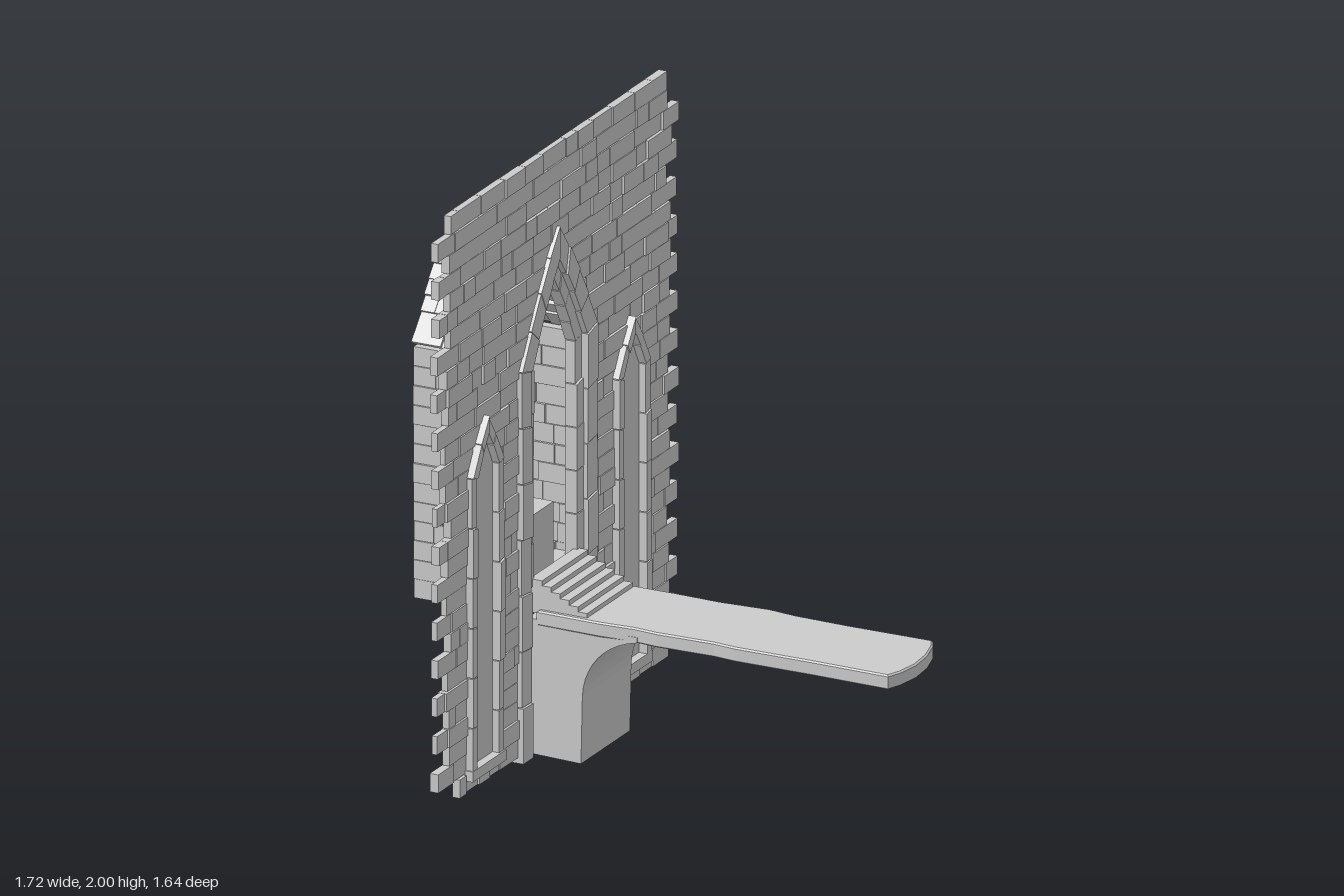
import * as THREE from 'three';
import { mergeGeometries } from 'three/addons/utils/BufferGeometryUtils.js';

const material = new THREE.MeshStandardMaterial({ color: 0xcccccc, flatShading: true, side: THREE.DoubleSide });

// Seeded variation for the hand-laid stones
let seed = 7;
const rand = (a, b) => {
  seed = (seed * 16807) % 2147483647;
  return a + (b - a) * (seed / 2147483647);
};

function addMesh(parent, name, geometries) {
  const mesh = new THREE.Mesh(mergeGeometries(geometries.map((g) => (g.index ? g.toNonIndexed() : g))), material);
  mesh.name = name;
  parent.add(mesh);
  return mesh;
}

// Box from its minimum and maximum corners
const box = (x0, x1, y0, y1, z0, z1) =>
  new THREE.BoxGeometry(x1 - x0, y1 - y0, z1 - z0).translate((x0 + x1) / 2, (y0 + y1) / 2, (z0 + z1) / 2);

// Outline of [z, y] points, extruded backwards from x = front
function slab(points, front, depth) {
  const shape = new THREE.Shape(points.map(([z, y]) => new THREE.Vector2(z, y)));
  return new THREE.ExtrudeGeometry(shape, { depth, bevelEnabled: false }).rotateY(-Math.PI / 2).translate(front, 0, 0);
}

// Split a span into stones of uneven length
function split(a, b, min, max, each) {
  for (let p = a; p < b - 0.001;) {
    let q = p + rand(min, max);
    if (b - q < min * 0.6) q = b;
    each(p, q);
    p = q;
  }
}

// Half width of a pointed opening at height y
function openingHalf(o, y) {
  if (y < o.y0 || y > o.apex) return 0;
  if (y < o.spring) return o.half;
  return o.half * (1 - Math.pow((y - o.spring) / (o.apex - o.spring), 1.2));
}

// Free parts of a course between z0 and z1 once the openings are taken out
function freeSpans(z0, z1, y, openings) {
  const spans = [];
  let start = z0;
  for (const o of openings) {
    const h = openingHalf(o, y);
    if (!h) continue;
    spans.push([start, o.z - h]);
    start = o.z + h;
  }
  spans.push([start, z1]);
  return spans.filter(([a, b]) => b - a > 0.015);
}

// Right half of a pointed outline, from the foot to the apex
function archSide(half, y0, spring, apex, jambSteps, archSteps) {
  const pts = [];
  for (let i = 0; i < jambSteps; i++) pts.push([half, y0 + ((spring - y0) * i) / jambSteps]);
  for (let i = 0; i <= archSteps; i++) {
    const t = i / archSteps;
    pts.push([half * (1 - t), spring + (apex - spring) * (t + 0.18 * t * (1 - t))]);
  }
  return pts;
}

// Pointed surround of separate stones
function archStones(o, width, front, depth, jambSteps, archSteps) {
  const outer = archSide(o.half, o.y0, o.spring, o.apex, jambSteps, archSteps);
  const inner = archSide(o.half - width, o.y0, o.spring - width * 0.25, o.apex - width * 1.55, jambSteps, archSteps);
  const stones = [];
  for (const s of [-1, 1]) {
    for (let i = 0; i < outer.length - 1; i++) {
      const g = 0.0015;
      const trim = rand(-0.004, 0.004);
      const quad = [
        [outer[i][0], outer[i][1] + g], [outer[i + 1][0], outer[i + 1][1] - g],
        [inner[i + 1][0], inner[i + 1][1] - g], [inner[i][0], inner[i][1] + g],
      ].map(([z, y]) => [o.z + s * z, y]);
      stones.push(slab(quad, front + trim, depth + trim));
    }
  }
  return stones;
}

// Filled pointed panel
function archPanel(o, inset, front, depth) {
  const side = archSide(o.half - inset, o.y0, o.spring, o.apex - inset * 1.5, 1, 4);
  const left = side.slice(0, -1).reverse().map(([z, y]) => [-z, y]);
  return slab([...side, ...left].map(([z, y]) => [z + o.z, y]), front, depth);
}

export function createModel() {
  const model = new THREE.Group();
  model.name = 'ruinedWallWithWalkway';

  // Openings, ordered along z
  const windows = [-0.49, 0.51].map((z) => ({ z, half: 0.11, y0: 0.07, spring: 1.08, apex: 1.26 }));
  const door = { z: 0.01, half: 0.26, y0: 0, spring: 1.32, apex: 1.73 };
  const holes = [
    { ...windows[0], half: 0.095, apex: 1.23 },
    { ...door, half: 0.225, apex: 1.68 },
    { ...windows[1], half: 0.095, apex: 1.23 },
  ];

  // Main wall: 31 courses with toothed ends
  const bricks = [];
  const rows = 31, pitch = 1.98 / rows;
  for (let r = 0; r < rows; r++) {
    const yTop = 2 - r * pitch, y0 = yTop - pitch;
    const zMax = r === rows - 1 ? 0.68 : r % 2 ? 0.82 : rand(0.73, 0.77);
    const zMin = r > 0 && r < rows - 1 && r % 2 === 0 ? -0.82 : rand(-0.77, -0.74);
    for (const [a, b] of freeSpans(zMin, zMax, y0 + pitch / 2, holes)) {
      split(a, b, 0.07, 0.17, (p, q) => {
        const back = -0.47 + rand(-0.004, 0.004), front = -0.444 + rand(-0.005, 0.005);
        bricks.push(box(back, front, y0 + 0.001, yTop - 0.001, p + 0.001, q - 0.001));
      });
    }
  }
  addMesh(model, 'wallBricks', bricks);

  // Narrow side windows
  for (const o of windows) {
    const group = new THREE.Group();
    group.name = o.z > 0 ? 'frontSideWindow' : 'backSideWindow';
    addMesh(group, 'windowSurround', archStones(o, 0.033, -0.424, 0.052, 6, 2));
    addMesh(group, 'windowPanel', [archPanel(o, 0.025, -0.452, 0.01)]);
    addMesh(group, 'windowSill', [box(-0.475, -0.422, 0.06, 0.095, o.z - 0.115, o.z + 0.115)]);
    model.add(group);
  }

  // Doorway: wide outer order and a slimmer recessed one
  addMesh(model, 'doorOuterSurround', archStones(door, 0.07, -0.43, 0.052, 7, 4));
  const innerDoor = { z: 0.01, half: 0.19, y0: 0.56, spring: 1.3, apex: 1.62 };
  addMesh(model, 'doorInnerSurround', archStones(innerDoor, 0.045, -0.45, 0.04, 5, 4));

  // Alcove side walls
  const sideBricks = [];
  const alcoveRows = 13, alcovePitch = 0.85 / alcoveRows;
  for (const s of [-1, 1]) {
    for (let r = 0; r < alcoveRows; r++) {
      const y0 = 0.46 + r * alcovePitch;
      split(-0.86, -0.47, 0.07, 0.15, (p, q) => {
        const zs = [s * (0.16 + rand(-0.004, 0.004)), s * (0.19 + rand(-0.005, 0.005))].sort((a, b) => a - b);
        sideBricks.push(box(p + 0.001, q - 0.001, y0 + 0.001, y0 + alcovePitch - 0.001, zs[0], zs[1]));
      });
    }
  }
  addMesh(model, 'alcoveSideBricks', sideBricks);

  // Alcove gable end with its own pointed window
  const endWindow = { z: 0.01, half: 0.115, y0: 0.58, spring: 1.3, apex: 1.48 };
  const endBricks = [];
  for (let r = 0; r < 17; r++) {
    const y0 = 0.46 + r * alcovePitch, y1 = y0 + alcovePitch;
    const half = y1 < 1.32 ? 0.165 : 0.19 * (1.61 - y1) / 0.3;
    if (half < 0.01) continue;
    for (const [a, b] of freeSpans(-half, half, y0 + alcovePitch / 2, [{ ...endWindow, half: 0.1, apex: 1.45 }])) {
      split(a, b, 0.06, 0.13, (p, q) => {
        endBricks.push(box(-0.86 + rand(0, 0.006), -0.83, y0 + 0.001, y1 - 0.001, p + 0.001, q - 0.001));
      });
    }
  }
  addMesh(model, 'alcoveEndBricks', endBricks);
  addMesh(model, 'alcoveWindowSurround', archStones(endWindow, 0.035, -0.822, 0.042, 5, 2));
  addMesh(model, 'alcoveWindowPanel', [archPanel(endWindow, 0.02, -0.842, 0.01)]);
  addMesh(model, 'alcoveFloor', [box(-0.84, -0.44, 0.54, 0.565, -0.165, 0.165)]);
  addMesh(model, 'alcoveBlock', [box(-0.58, -0.47, 0.565, 0.785, -0.02, 0.12)]);

  // Steep roof: overlapping shingle courses and a ridge
  const shingles = [];
  const courses = 6;
  for (const s of [-1, 1]) {
    for (let i = 0; i < courses; i++) {
      const t = (i + 0.5) / courses;
      split(-0.865, -0.472, 0.05, 0.11, (p, q) => {
        const out = rand(-0.004, 0.004);
        shingles.push(new THREE.BoxGeometry(q - p - 0.002, 0.016, 0.072)
          .rotateX(s * 0.84)
          .translate((p + q) / 2, 1.59 - 0.265 * t + out, s * (0.005 + 0.175 * t + out)));
      });
    }
  }
  split(-0.865, -0.472, 0.1, 0.16, (p, q) => shingles.push(box(p + 0.001, q - 0.001, 1.585, 1.61, -0.018, 0.018)));
  addMesh(model, 'alcoveRoofShingles', shingles);

  // Walkway deck with worn edges and a broken tip
  const deckPoints = [[-0.42, 0.175], [-0.2, 0.178], [-0.08, 0.17], [0.0, 0.177], [0.2, 0.17], [0.28, 0.178],
    [0.55, 0.174], [0.82, 0.176], [0.838, 0.13], [0.85, 0.05], [0.842, -0.04], [0.82, -0.12], [0.8, -0.158],
    [0.5, -0.153], [0.32, -0.156], [0.22, -0.168], [0.05, -0.155], [-0.1, -0.158], [-0.42, -0.155]];
  const deckShape = new THREE.Shape(deckPoints.map(([x, z]) => new THREE.Vector2(x, -z)));
  const deck = new THREE.ExtrudeGeometry(deckShape, {
    depth: 0.04, bevelThickness: 0.005, bevelSize: 0.006, bevelSegments: 1,
  }).rotateX(-Math.PI / 2).translate(0, 0.445, 0);
  addMesh(model, 'walkwayDeck', [deck]);

  // Pier that curves out under the deck
  const pier = new THREE.Shape();
  pier.moveTo(-0.46, 0.005);
  pier.lineTo(-0.27, 0);
  pier.lineTo(-0.265, 0.23);
  pier.bezierCurveTo(-0.26, 0.33, -0.19, 0.42, -0.07, 0.442);
  pier.lineTo(-0.07, 0.46);
  pier.lineTo(-0.46, 0.46);
  addMesh(model, 'walkwayPier', [
    new THREE.ExtrudeGeometry(pier, { depth: 0.335, bevelEnabled: false, curveSegments: 10 }).translate(0, 0, -0.157),
  ]);

  // Steps from the deck up to the doorway
  const steps = [];
  for (let i = 0; i < 6; i++) {
    steps.push(box(-0.46, -0.255 - i * 0.032, 0.475, 0.505 + i * 0.0165, -0.15, 0.165));
  }
  addMesh(model, 'doorSteps', steps);

  return model;
}
